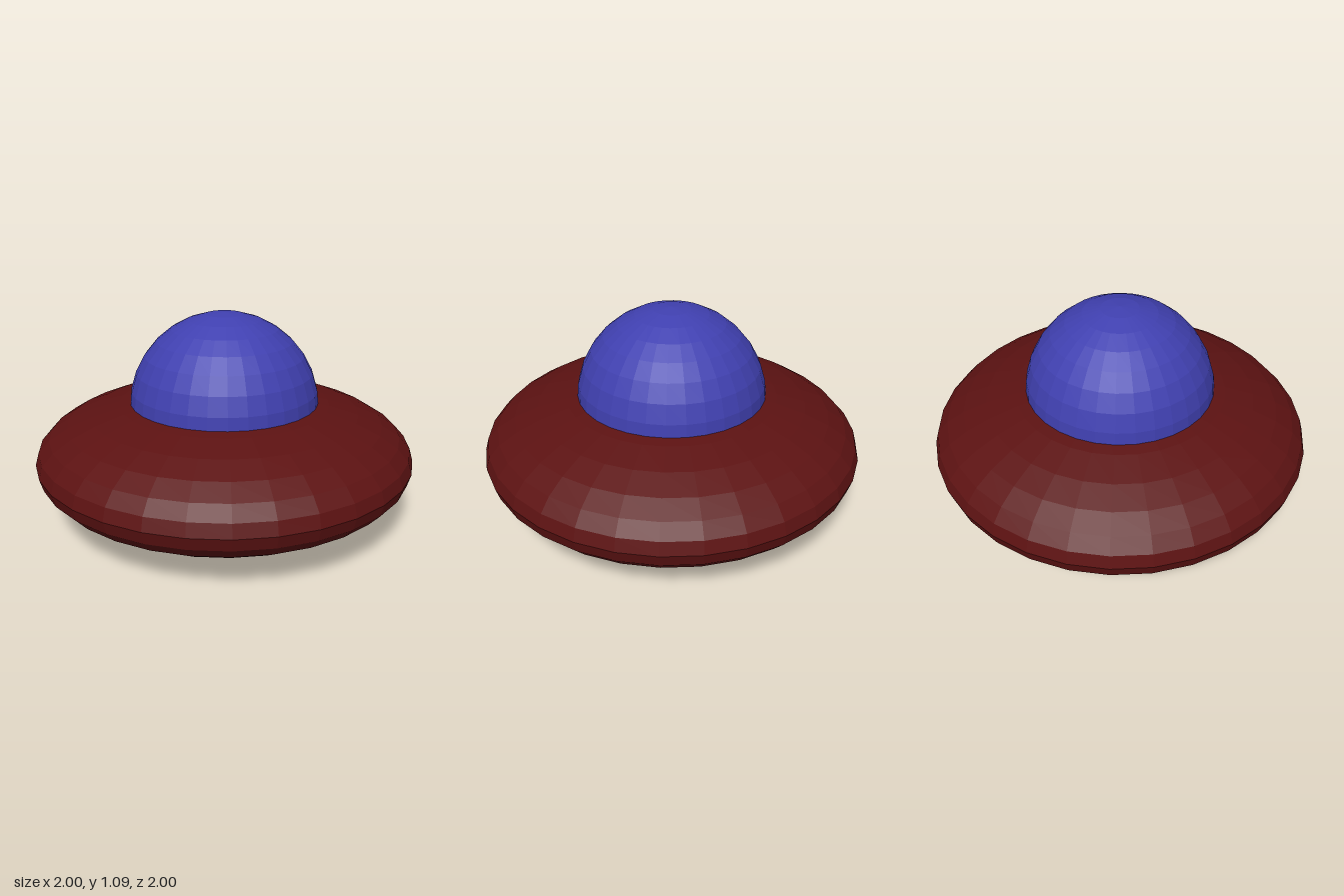
import * as THREE from 'three';

function part(name, geometry, color, y) {
  const material = new THREE.MeshStandardMaterial({ color, flatShading: true });
  const mesh = new THREE.Mesh(geometry, material);
  mesh.name = name;
  mesh.position.y = y;
  return mesh;
}

export function createModel() {
  const group = new THREE.Group();
  group.name = 'flyingSaucer';

  // Flattened sphere for the disc-shaped hull
  const hull = new THREE.SphereGeometry(1, 32, 16).scale(1, 1 / 3, 1);
  group.add(part('hull', hull, 0x5c1212, 0.335));

  // Half sphere for the cockpit, its rim sunk into the hull
  const dome = new THREE.SphereGeometry(0.5, 32, 8, 0, Math.PI * 2, 0, Math.PI / 2);
  group.add(part('dome', dome, 0x4040b0, 0.59));

  return group;
}
